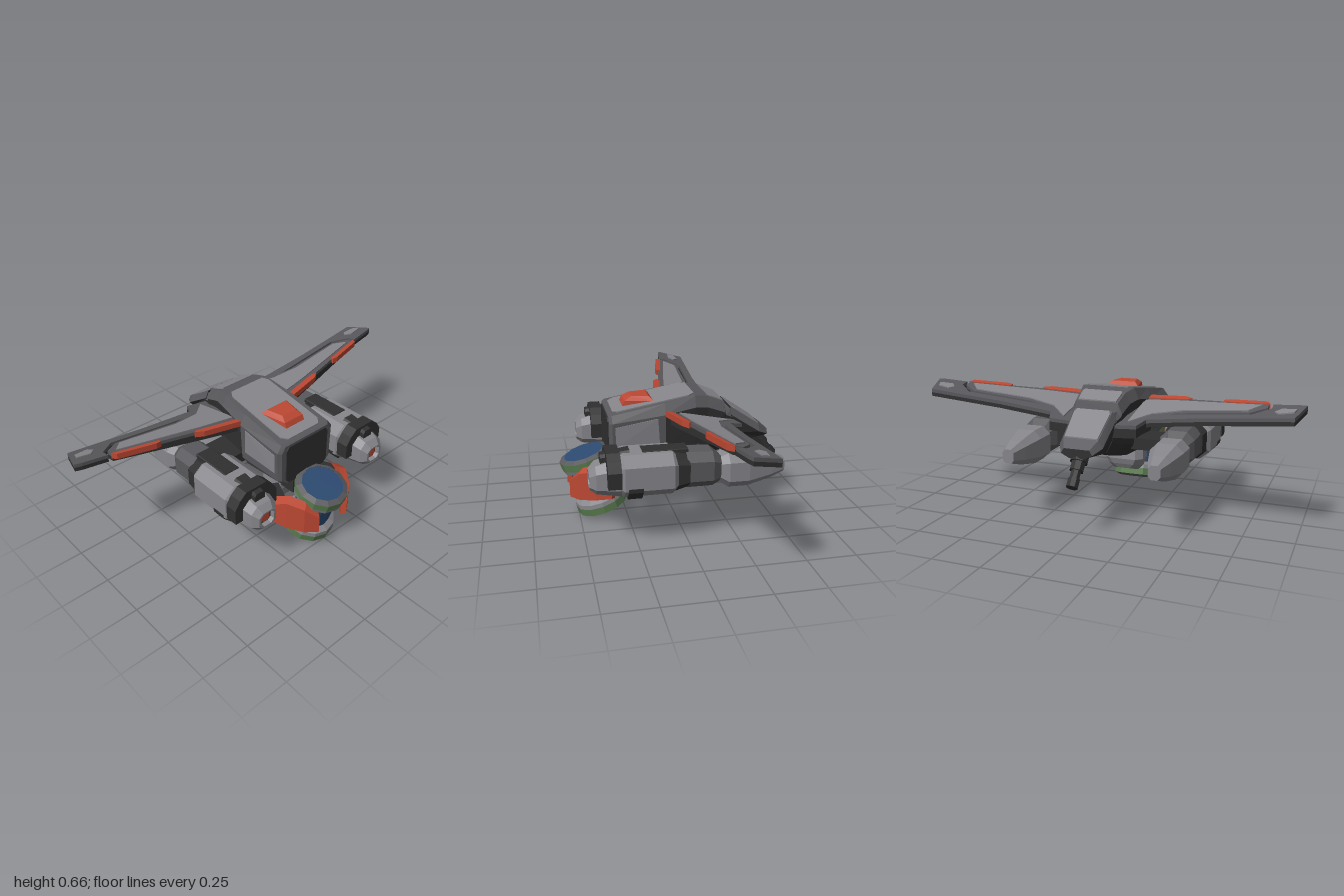
import * as THREE from 'three';

const mat = (name, color) => Object.assign(new THREE.MeshStandardMaterial({ color }), { name });

export function createModel() {
  const light = mat('light grey', 0x86868b), mid = mat('mid grey', 0x59595d), dark = mat('dark grey', 0x303031);
  const red = mat('red', 0xbc4833), green = mat('green', 0x5a7d4e), blue = mat('blue', 0x2c4a70);
  const model = new THREE.Group();

  const add = (name, geo, material, parent = model) => {
    const m = new THREE.Mesh(geo, material);
    m.name = name;
    parent.add(m);
    return m;
  };

  // Skin through equal rings of points, capped at both ends; one material or one per strip
  function loft(name, rings, mats, parent = model) {
    const list = Array.isArray(mats) ? [...new Set(mats)] : [mats];
    const tris = list.map(() => []);
    const n = rings[0].length;
    const slot = j => Array.isArray(mats) ? list.indexOf(mats[j]) : 0;
    for (let i = 0; i < rings.length - 1; i++) for (let j = 0; j < n; j++) {
      const k = (j + 1) % n, a = rings[i][j], b = rings[i][k], c = rings[i + 1][k], d = rings[i + 1][j];
      tris[slot(j)].push([a, d, c], [a, c, b]);
    }
    const f = rings[0], e = rings[rings.length - 1];
    for (let j = 1; j < n - 1; j++) tris[0].push([f[0], f[j], f[j + 1]], [e[0], e[j + 1], e[j]]);
    // turn every face outward
    let vol = 0;
    const v = p => new THREE.Vector3(...p);
    tris.flat().forEach(([a, b, c]) => { vol += v(a).sub(v(f[0])).dot(v(b).sub(v(f[0])).cross(v(c).sub(v(f[0])))); });
    const pos = [], geo = new THREE.BufferGeometry();
    tris.forEach((group, g) => {
      geo.addGroup(pos.length / 3, group.length * 3, g);
      group.forEach(([a, b, c]) => pos.push(...a, ...(vol < 0 ? c : b), ...(vol < 0 ? b : c)));
    });
    geo.setAttribute('position', new THREE.Float32BufferAttribute(pos, 3));
    geo.computeVertexNormals();
    return add(name, geo, list.length > 1 ? list : list[0], parent);
  }

  // Thin convex plate raised off a surface
  const plate = (name, pts, off, material) =>
    loft(name, [pts.map(p => p.map((c, i) => c + off[i])), pts], material);

  // Chamfered rectangle facing z
  function oct(z, hw, hh, cy, cx = 0, c = 0.45) {
    const a = hw * (1 - c), b = hh * (1 - c);
    return [[hw, -b], [hw, b], [a, hh], [-a, hh], [-hw, b], [-hw, -b], [-a, -hh], [a, -hh]]
      .map(([x, y]) => [cx + x, cy + y, z]);
  }
  // Mirrored hull section, given from keel to roof as [halfWidth, y]
  const section = (z, half) => [
    ...half.map(([x, y]) => [x, y, z]),
    ...half.slice().reverse().map(([x, y]) => [-x, y, z])];

  // Fuselage
  const shoulder = section(0.06, [[0.13, 0.3], [0.175, 0.37], [0.185, 0.575], [0.155, 0.628]]);
  loft('frontHull', [
    section(0.345, [[0.13, 0.345], [0.165, 0.375], [0.168, 0.54], [0.145, 0.574]]),
    section(0.33, [[0.14, 0.33], [0.18, 0.375], [0.187, 0.545], [0.16, 0.581]]),
    shoulder], [mid, mid, mid, mid, mid, mid, mid, dark]);
  const hullMats = [dark, dark, mid, mid, mid, dark, dark, dark];
  loft('midHull', [shoulder,
    section(-0.1, [[0.1, 0.3], [0.15, 0.36], [0.165, 0.6], [0.14, 0.656]]),
    section(-0.17, [[0.09, 0.315], [0.135, 0.38], [0.145, 0.59], [0.12, 0.645]]),
    section(-0.262, [[0.08, 0.34], [0.115, 0.4], [0.135, 0.555], [0.112, 0.607]]),
    section(-0.268, [[0.08, 0.34], [0.115, 0.4], [0.13, 0.54], [0.108, 0.57]]),
    section(-0.31, [[0.07, 0.36], [0.1, 0.42], [0.118, 0.52], [0.1, 0.56]])], hullMats);
  loft('tailHull', [
    section(-0.3, [[0.07, 0.36], [0.1, 0.43], [0.12, 0.535], [0.1, 0.575]]),
    section(-0.46, [[0.06, 0.385], [0.09, 0.4], [0.112, 0.43], [0.09, 0.468]]),
    section(-0.515, [[0.04, 0.385], [0.06, 0.395], [0.08, 0.405], [0.065, 0.43]])], hullMats);

  // Fuselage panels
  plate('frontScreen', [[0.12, 0.35], [0.14, 0.37], [0.14, 0.545], [0.125, 0.565], [-0.125, 0.565], [-0.14, 0.545], [-0.14, 0.37], [-0.12, 0.35]]
    .map(([x, y]) => [x, y, 0.344]), [0, 0, 0.007], dark);
  const roof = z => 0.639 - 0.176 * z;
  const topPlate = (name, half, y) => plate(name,
    [...half, ...half.slice().reverse().map(([x, z]) => [-x, z])].map(([x, z]) => [x, y(z), z]), [0, 0.006, 0], light);
  topPlate('roofPanel', [[0.1, 0.32], [0.128, 0.29], [0.125, -0.07], [0.105, -0.1]], roof);
  topPlate('neckPanel', [[0.1, -0.172], [0.106, -0.19], [0.1, -0.255]], z => 0.645 + (z + 0.17) * 0.413);
  topPlate('tailPanel', [[0.085, -0.305], [0.095, -0.325], [0.085, -0.46]], z => 0.575 + (z + 0.3) * 0.669);
  for (const s of [1, -1]) {
    plate('sidePanel', [[0.182, 0.42, 0.315], [0.184, 0.525, 0.315], [0.183, 0.56, 0.1], [0.176, 0.42, 0.09]]
      .map(([x, y, z]) => [x * s, y, z]), [0.006 * s, 0, 0], light);
  }

  // Roof beacon
  const crest = (y, front, back, wf, wb) => [[wf, y, front], [wb, y, back], [-wb, y, back], [-wf, y, front]];
  loft('roofBeacon', [crest(0.645, 0.215, 0.125, 0.045, 0.065), crest(0.625, 0.25, 0.105, 0.06, 0.088),
    crest(0.58, 0.27, 0.1, 0.062, 0.09)], red);

  // Tail gun, pointing back and down
  const gun = new THREE.Group();
  gun.name = 'tailGun';
  gun.position.set(0, 0.385, -0.467);
  gun.rotation.x = Math.PI + 0.7;
  model.add(gun);
  [[0.045, 0.05, 0.01], [0.035, 0.05, 0.055], [0.025, 0.06, 0.105], [0.03, 0.045, 0.143]].forEach(([r, h, y]) =>
    add('gunSegment', new THREE.CylinderGeometry(r, r, h, 8).toNonIndexed(), dark, gun).position.y = y);
  gun.children.forEach(m => m.geometry.computeVertexNormals());

  // Wings: outlines as [x, z], lifted along the dihedral and drooping toward the rear
  const wingTop = x => 0.545 + 0.103 * x;
  const wingBase = x => wingTop(x) - 0.07 + 0.035 * x;
  function slab(name, pts, s, lo, hi, material) {
    const shape = new THREE.Shape(pts.map(([x, z]) => new THREE.Vector2(x * s, -z)));
    const g = new THREE.ExtrudeGeometry(shape, { depth: 1, bevelEnabled: false });
    const p = g.attributes.position;
    for (let i = 0; i < p.count; i++) {
      const x = p.getX(i), z = -p.getY(i), ax = Math.abs(x);
      p.setXYZ(i, x, (p.getZ(i) > 0.5 ? hi(ax) : lo(ax)) + 0.2 * (z + 0.08), z);
    }
    g.clearGroups();
    g.computeVertexNormals();
    add(name, g, material);
  }
  const mainWing = [[0.1, 0.045], [0.17, 0.035], [0.38, -0.005], [0.82, -0.1], [0.82, -0.145], [0.745, -0.197],
    [0.4, -0.185], [0.27, -0.22], [0.23, -0.325], [0.1, -0.31]];
  const rearWing = [[0.25, -0.2], [0.24, -0.255], [0.55, -0.25], [0.96, -0.268], [1, -0.13], [0.965, -0.12],
    [0.84, -0.105], [0.84, -0.15], [0.76, -0.215], [0.4, -0.2]];
  const wingPanel = [[0.17, -0.01], [0.36, -0.035], [0.79, -0.118], [0.735, -0.178], [0.42, -0.16], [0.27, -0.19], [0.17, -0.285]];
  const tipPanel = [[0.86, -0.2], [0.88, -0.225], [0.95, -0.215], [0.96, -0.18], [0.89, -0.17]];
  const edges = [[[0.18, 0.06], [0.38, 0.022], [0.42, -0.005], [0.4, -0.02], [0.18, 0.02]],
    [[0.59, -0.04], [0.62, -0.035], [0.81, -0.075], [0.825, -0.105], [0.59, -0.06]]];
  for (const s of [1, -1]) {
    for (const [name, pts] of [['mainWing', mainWing], ['rearWing', rearWing]]) {
      const skin = x => wingTop(x) - 0.018;
      slab(name + 'Skin', pts, s, skin, wingTop, mid);
      slab(name + 'Underside', pts, s, name === 'rearWing' ? x => wingTop(x) - 0.038 : wingBase, skin, dark);
    }
    slab('wingPanel', wingPanel, s, wingTop, x => wingTop(x) + 0.006, light);
    slab('tipPanel', tipPanel, s, wingTop, x => wingTop(x) + 0.006, light);
    edges.forEach(pts => slab('leadingEdge', pts, s, x => wingTop(x) - 0.026, x => wingTop(x) + 0.004, red));
  }

  // Engines on both sides
  for (const s of [1, -1]) {
    const X = 0.377 * s, engine = new THREE.Group();
    engine.name = s > 0 ? 'leftEngine' : 'rightEngine';
    model.add(engine);
    const part = (name, rings, m) => loft(name, rings.map(([z, hw, hh, cy, c]) => oct(z, hw, hh, cy, X, c)), m, engine);
    part('engineNose', [[0.45, 0.036, 0.034, 0.347], [0.475, 0.04, 0.038, 0.346], [0.475, 0.052, 0.045, 0.345],
      [0.445, 0.075, 0.07, 0.35], [0.32, 0.098, 0.098, 0.36]], light);
    part('noseSocket', [[0.453, 0.036, 0.034, 0.347], [0.449, 0.036, 0.034, 0.347]], dark);
    part('noseLamp', [[0.458, 0.026, 0.026, 0.347], [0.45, 0.026, 0.026, 0.347]], red);
    part('engineBody', [[0.335, 0.1, 0.09, 0.368], [0.315, 0.125, 0.105, 0.37], [0.08, 0.125, 0.105, 0.37], [0.06, 0.11, 0.09, 0.37]], light);
    part('engineCollar', [[0.07, 0.11, 0.098, 0.37], [0, 0.1, 0.08, 0.37]], dark);
    part('engineSpar', [[0.01, 0.09, 0.09, 0.372], [-0.12, 0.09, 0.088, 0.37], [-0.17, 0.06, 0.06, 0.36]], mid);
    part('rearPod', [[-0.13, 0.05, 0.045, 0.36], [-0.2, 0.087, 0.087, 0.353], [-0.3, 0.085, 0.087, 0.352],
      [-0.42, 0.055, 0.06, 0.35], [-0.495, 0.03, 0.035, 0.35]], light);
    part('topChannel', [[0.22, 0.045, 0.03, 0.449, 0.1], [0, 0.045, 0.03, 0.449, 0.1]], dark);
    part('clampStrap', [[0.42, 0.03, 0.05, 0.42, 0.3], [0.28, 0.04, 0.045, 0.442, 0.3]], dark);
    // clamps as half octagons around the body
    const clamp = (z, profile) => [...profile, ...profile.slice().reverse().map(([x, y]) => [-x, y])].map(([x, y]) => [X + x, y, z]);
    const upper = [[0.128, 0.33], [0.13, 0.41], [0.1, 0.455], [0.062, 0.487]], lower = [[0.129, 0.325], [0.127, 0.305], [0.078, 0.256]];
    loft('upperClamp', [clamp(0.395, upper), clamp(0.33, upper)], dark, engine);
    loft('lowerClamp', [clamp(0.3, lower), clamp(0.23, lower)], dark, engine);
    add('enginePylon', new THREE.BoxGeometry(0.18, 0.06, 0.18), dark, engine).position.set(0.22 * s, 0.37, -0.03);
  }

  // Cargo canister, tilted forward
  const canister = new THREE.Group();
  canister.name = 'canister';
  canister.position.set(0, 0.032, 0.37);
  canister.rotation.x = 0.295;
  model.add(canister);
  const turned = (name, m, pts) => {
    const g = new THREE.LatheGeometry(pts.map(([r, y]) => new THREE.Vector2(r, y)), 12).toNonIndexed();
    g.computeVertexNormals();
    add(name, g, m, canister);
  };
  const L = 0.328;
  turned('canisterBody', blue, [[0, 0], [0.108, 0], [0.1, 0.03], [0.1, L - 0.03], [0.108, L], [0, L]]);
  turned('lowerRimBevel', mid, [[0.108, -0.001], [0.136, 0.012]]);
  turned('lowerBand', green, [[0.136, 0.012], [0.136, 0.05]]);
  turned('lowerCollar', light, [[0.136, 0.05], [0.132, 0.072], [0.098, 0.09]]);
  turned('upperCollar', light, [[0.098, L - 0.09], [0.132, L - 0.072], [0.136, L - 0.05]]);
  turned('upperBand', green, [[0.136, L - 0.05], [0.136, L - 0.012]]);
  turned('upperRimBevel', mid, [[0.136, L - 0.012], [0.108, L + 0.001]]);

  // Curved grips round the canister: [x, z, yLow, yHigh, innerX, innerZ]
  const grip = [[0.245, 0.35, 0.16, 0.295, 0.205, 0.33], [0.212, 0.43, 0.145, 0.33, 0.172, 0.415],
    [0.16, 0.505, 0.132, 0.305, 0.125, 0.48], [0.1, 0.55, 0.13, 0.25, 0.085, 0.525]];
  for (const s of [1, -1]) {
    loft('grip', grip.map(([x, z, lo, hi, ix, iz]) =>
      [[x, lo + 0.01, z], [x, hi - 0.02, z], [ix, hi, iz], [ix, lo, iz]].map(([a, b, c]) => [a * s, b, c])), red);
    const arm = add('gripArm', new THREE.BoxGeometry(0.05, 0.06, 0.13), dark);
    arm.position.set(0.165 * s, 0.265, 0.315);
    arm.rotation.y = 0.45 * s;
  }

  // Faceted mount under the belly, its foot sloping up toward the rear
  const mount = (y, hw, front, back, rise = 0) => {
    const c = 0.035;
    return [[hw - c, front], [hw, front - c], [hw, back + c], [hw - c, back], [c - hw, back], [-hw, back + c], [-hw, front - c], [c - hw, front]]
      .map(([x, z]) => [x, y + rise * (front - z), z]);
  };
  loft('bellyMount', [mount(0.34, 0.1, 0.235, 0.12), mount(0.21, 0.11, 0.245, 0.105), mount(0.155, 0.095, 0.23, 0.115, 0.2),
    mount(0.126, 0.07, 0.212, 0.13, 0.3)], light);
  add('mountLink', new THREE.BoxGeometry(0.14, 0.09, 0.12), dark).position.set(0, 0.285, 0.27);

  return model;
}
